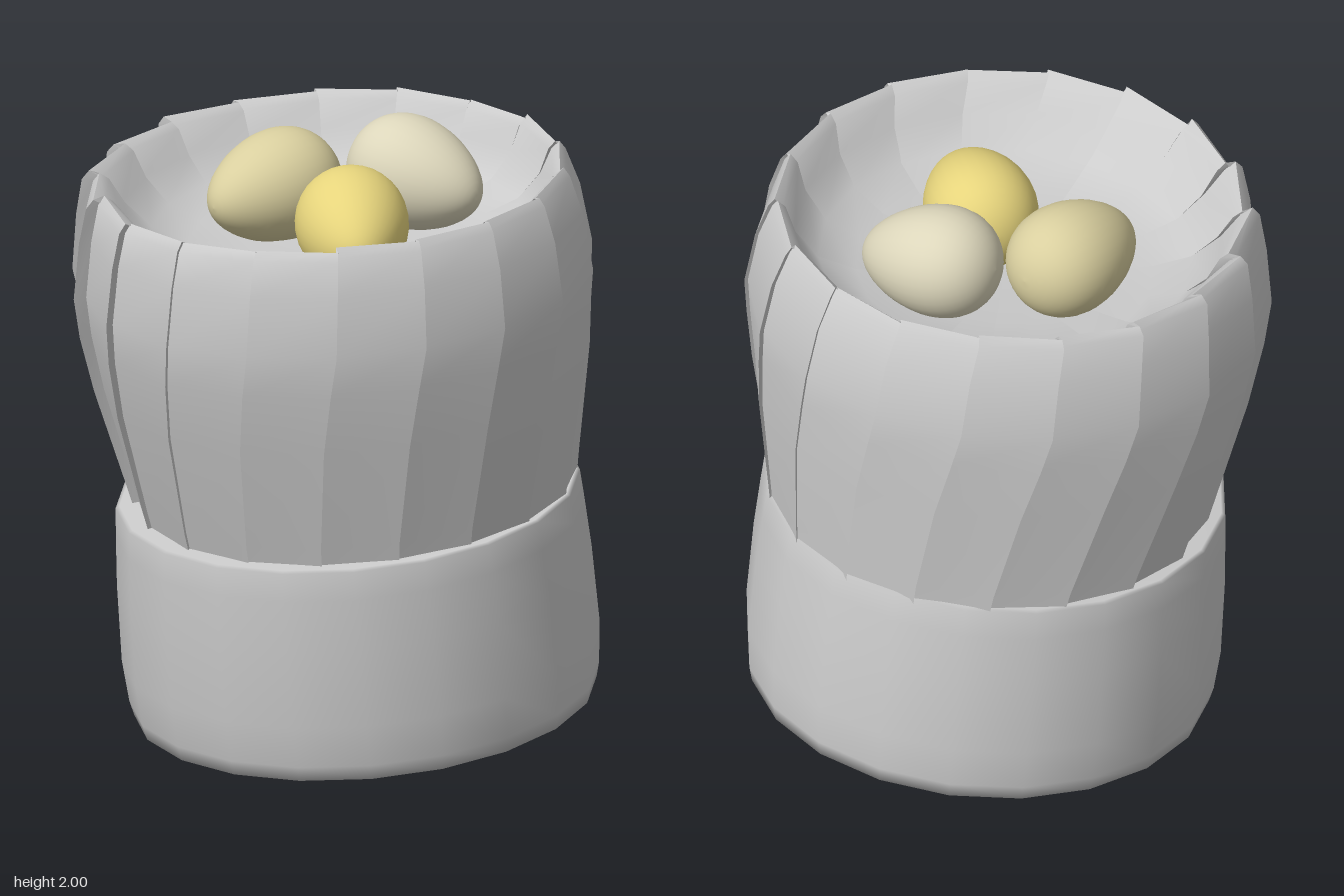
import * as THREE from 'three';
import { toCreasedNormals } from 'three/addons/utils/BufferGeometryUtils.js';

const V2 = (p) => new THREE.Vector2(p[0], p[1]);
const material = (color = 0xcccccc) => new THREE.MeshStandardMaterial({ color, side: THREE.DoubleSide });

function seeded(seed) {
  return () => ((seed = (seed * 16807) % 2147483647) / 2147483647);
}

// Tilted band with a closed base and a flat shoulder that meets the crown
function makeBand() {
  const profile = [
    [0, 0], [0.745, 0], [0.757, 0.05], [0.77, 0.19], [0.765, 0.45],
    [0.755, 0.62], [0.748, 0.715], [0.735, 0.722], [0.6, 0.722],
  ].map(V2);
  const band = new THREE.Mesh(new THREE.LatheGeometry(profile, 20), material());
  band.name = 'hatBand';
  band.position.set(0, 0.075, -0.115);
  band.rotation.x = 0.1;
  return band;
}

// Pleated crown: sawtooth rings that climb the wall, roll over the rim and close in a shallow bowl
function makeCrown() {
  // height, z centre, radius, pleat depth, twist in degrees, tilt, rim jitter
  const rings = [
    [0.70, -0.085, 0.697, 0.012, -10, 0.095, 0],
    [0.85, -0.065, 0.726, 0.014, -9, 0.095, 0],
    [1.20, -0.02, 0.800, 0.020, -5, 0.08, 0],
    [1.40, 0.005, 0.832, 0.024, -2, 0.075, 0],
    [1.54, 0.017, 0.847, 0.026, 0, 0.07, 0],
    [1.73, 0.03, 0.822, 0.026, 1, 0.065, 0],
    [1.85, 0.045, 0.790, 0.026, 2, 0.065, 0.006],
    [1.878, 0.043, 0.768, 0.024, 2, 0.065, 0.008],
    [1.855, 0.035, 0.735, 0.018, 2, 0.065, 0.006],
    [1.77, 0.015, 0.685, 0.008, 3, 0.065, 0],
    [1.69, 0, 0.600, 0, 4, 0.065, 0],
    [1.645, 0, 0.480, 0, 5, 0.065, 0],
    [1.625, 0, 0.280, 0, 5, 0.065, 0],
    [1.62, 0, 0, 0, 5, 0.065, 0],
  ];
  const pleats = 18, cols = pleats * 2;
  const random = seeded(11);
  const variation = Array.from({ length: cols }, () => random());
  const positions = [], index = [];

  rings.forEach(([y, cz, radius, depth, twist, tilt, jitter]) => {
    for (let c = 0; c < cols; c++) {
      const pleat = Math.floor(c / 2), inner = c % 2 === 0;
      // each panel starts tucked under its neighbour and ends at a raised edge
      const a = THREE.MathUtils.degToRad(13.5 + pleat * 20 + (inner ? -0.5 : 20) + twist);
      // folds are deepest at the front right of the hat
      const deeper = 0.4 + 0.4 * variation[c] + Math.max(0, Math.cos(a + 1));
      const r = radius - (inner ? depth * deeper : 0);
      const z = r * Math.cos(a);
      positions.push(r * Math.sin(a), y - z * tilt + jitter * (variation[c] * 2 - 1), cz + z);
    }
  });
  for (let k = 0; k < rings.length - 1; k++) {
    for (let c = 0; c < cols; c++) {
      const n = (c + 1) % cols;
      const p = k * cols + c, q = k * cols + n;
      index.push(p, q, q + cols);
      if (k < rings.length - 2) index.push(p, q + cols, p + cols);
    }
  }
  const geometry = new THREE.BufferGeometry();
  geometry.setAttribute('position', new THREE.Float32BufferAttribute(positions, 3));
  geometry.setIndex(index);
  const crown = new THREE.Mesh(toCreasedNormals(geometry, 1.2), material());
  crown.name = 'pleatedCrown';
  return crown;
}

// Egg whose narrow end points along the given direction
function makeEgg(name, color, position, direction) {
  const profile = [];
  for (let i = 0; i <= 24; i++) {
    const a = -Math.PI / 2 + (Math.PI * i) / 24;
    const t = Math.sin(a);
    profile.push(new THREE.Vector2(Math.max(0, 0.18 * Math.cos(a) * (1 - 0.2 * t)), 0.24 * t));
  }
  const egg = new THREE.Mesh(new THREE.LatheGeometry(profile, 32), material(color));
  egg.name = name;
  egg.position.set(...position);
  egg.quaternion.setFromUnitVectors(new THREE.Vector3(0, 1, 0), new THREE.Vector3(...direction).normalize());
  return egg;
}

export function createModel() {
  const model = new THREE.Group();
  model.name = 'hatWithEggs';
  model.add(
    makeBand(),
    makeCrown(),
    makeEgg('rightEgg', 0xd9cf9f, [-0.227, 1.77, 0.09], [0.02, -0.1, 1]),
    makeEgg('leftEgg', 0xe6d47c, [0.208, 1.742, 0.093], [0.85, -0.12, 0.52]),
    makeEgg('backEgg', 0xdcd6bb, [0.053, 1.81, -0.285], [0.95, -0.17, -0.28]),
  );
  return model;
}
